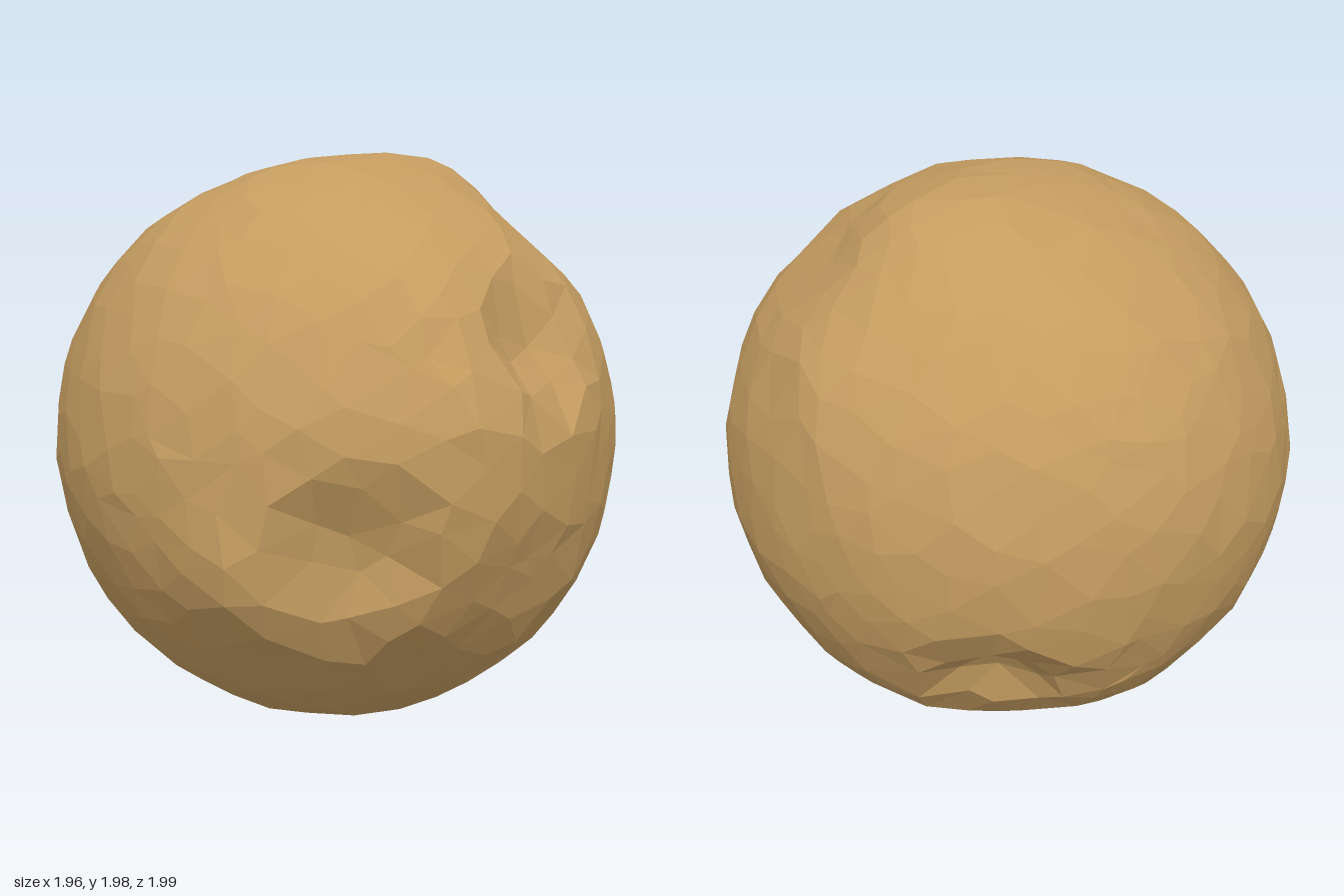
import * as THREE from 'three';
import { mergeVertices } from 'three/addons/utils/BufferGeometryUtils.js';

// Features: direction from the centre, angular radius, height (negative = hollow), rim softness 0..1
const FEATURES = [
  { at: [-0.28, -0.18, 0.93], radius: 0.34, height: -0.1, soft: 0.75 },   // front hollow
  { at: [0.12, -0.1, 0.98], radius: 0.26, height: 0.025, soft: 1 },       // ridge beside the hollow
  { at: [0.36, -0.32, 0.87], radius: 0.34, height: -0.03, soft: 1 },      // front flat
  { at: [0.02, -0.7, 0.72], radius: 0.45, height: -0.04, soft: 1 },       // lower front flat
  { at: [0.42, 0.43, 0.75], radius: 0.31, height: -0.11, soft: 0.85 },    // upper front crater
  { at: [0.41, -0.45, -0.67], radius: 0.31, height: -0.15, soft: 0.85 },  // back crater
  { at: [0.13, 0.24, 0.97], radius: 0.32, height: 0.05, soft: 1 },        // front knob
  { at: [0.02, 0.58, 0.82], radius: 0.3, height: 0.02, soft: 1 },         // brow above the knob
  { at: [-0.6, -0.32, 0.79], radius: 0.36, height: 0.06, soft: 1 },       // cheek
  { at: [0.36, 0.95, -0.1], radius: 0.38, height: 0.055, soft: 1 },       // crown
  { at: [-0.33, 0.87, -0.33], radius: 0.5, height: -0.025, soft: 1 },     // flat behind the crown
  { at: [0.62, 0.74, 0.2], radius: 0.3, height: -0.035, soft: 1 },        // valley beside the crown
  { at: [0.82, 0.52, -0.25], radius: 0.35, height: 0.035, soft: 1 },      // shoulder
  { at: [0.72, -0.03, 0.68], radius: 0.42, height: -0.025, soft: 1 },     // side flat
  { at: [0.18, -0.84, -0.5], radius: 0.42, height: -0.04, soft: 1 },      // underside flat
].map((f) => ({ ...f, dir: new THREE.Vector3(...f.at).normalize() }));

function seeded(seed) {
  return () => {
    seed = (seed * 16807) % 2147483647;
    return seed / 2147483647;
  };
}

// Surface radius along a unit direction
function radiusAt(dir) {
  let r = 0.984;
  for (const f of FEATURES) {
    const t = dir.angleTo(f.dir) / f.radius;
    r += f.height * (1 - THREE.MathUtils.smoothstep(t, 1 - f.soft, 1));
  }
  return r;
}

function rockGeometry() {
  let geometry = new THREE.IcosahedronGeometry(1, 7);
  geometry.deleteAttribute('normal');
  geometry.deleteAttribute('uv');
  geometry = mergeVertices(geometry, 1e-4);
  const random = seeded(4711);
  const pos = geometry.attributes.position;
  const v = new THREE.Vector3();
  const jitter = () => (random() - 0.5) * 0.085;
  for (let i = 0; i < pos.count; i++) {
    // Uneven facets: shift each corner along the surface, then push it in or out
    v.fromBufferAttribute(pos, i);
    v.set(v.x + jitter(), v.y + jitter(), v.z + jitter()).normalize();
    v.multiplyScalar(radiusAt(v) + (random() - 0.5) * 0.01);
    pos.setXYZ(i, v.x, v.y, v.z);
  }
  // Stand the rock on the ground
  geometry.computeBoundingBox();
  geometry.translate(0, -geometry.boundingBox.min.y, 0);
  geometry.computeVertexNormals();
  return geometry;
}

export function createModel() {
  const model = new THREE.Group();
  model.name = 'boulder';
  const stone = new THREE.MeshStandardMaterial({ color: 0xc49c60, flatShading: true });
  stone.name = 'sandy stone';
  const rock = new THREE.Mesh(rockGeometry(), stone);
  rock.name = 'crateredRock';
  model.add(rock);
  return model;
}
